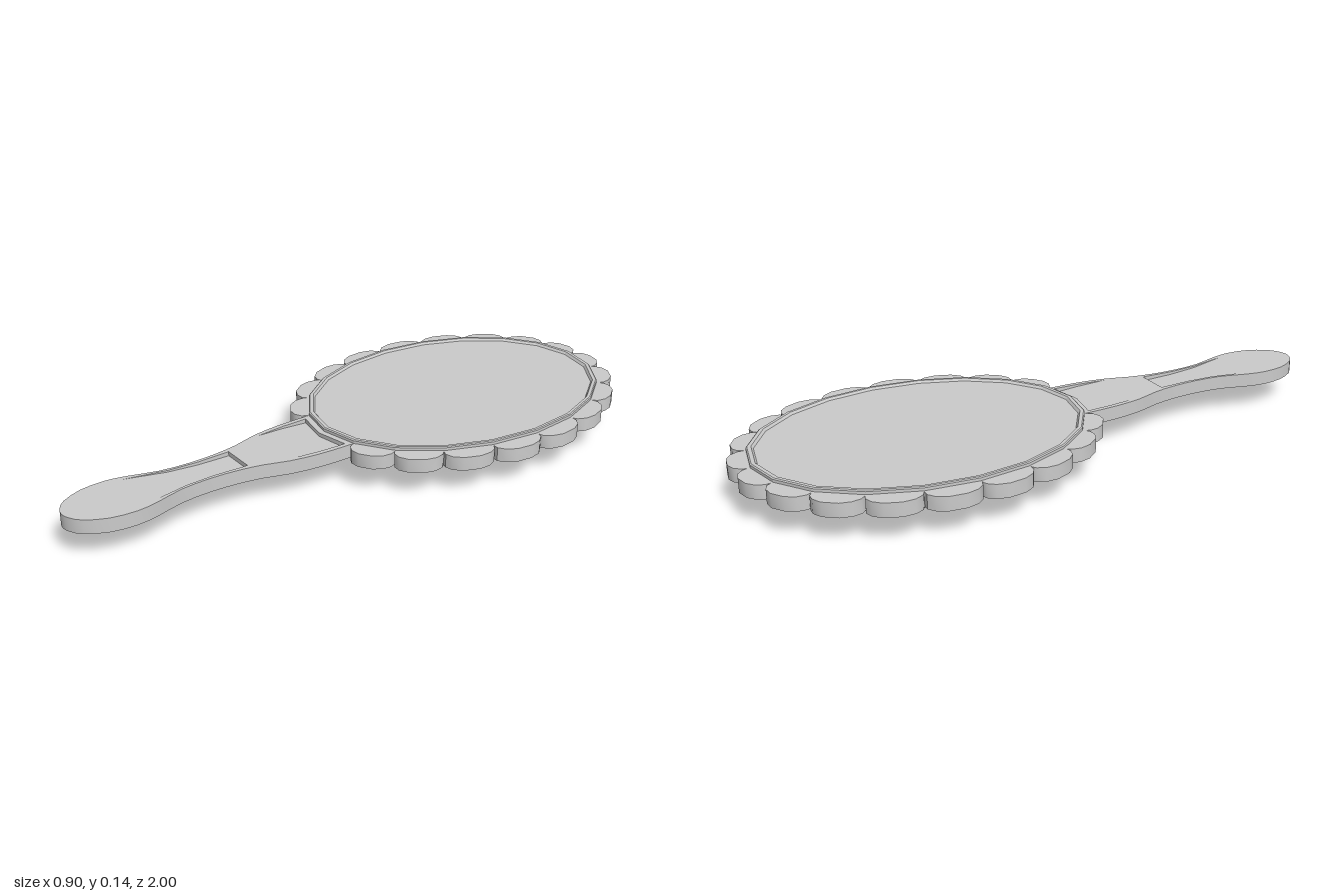
import * as THREE from 'three';
import { toCreasedNormals } from 'three/addons/utils/BufferGeometryUtils.js';

const SIDES = 20, RX = 0.4, RZ = 0.533, CZ = -0.417;
const TOP = 0.13, THICK = 0.045;
const material = new THREE.MeshStandardMaterial({ color: 0xcccccc });

function addMesh(parent, name, geometry, crease = 0.6) {
  const mesh = new THREE.Mesh(toCreasedNormals(geometry, crease), material);
  mesh.name = name;
  parent.add(mesh);
  return mesh;
}

// Oval body: a lathed profile stretched along z
function ovalLathe(profile) {
  const points = profile.map(([x, y]) => new THREE.Vector2(x, y));
  return new THREE.LatheGeometry(points, SIDES).scale(1, 1, RZ / RX).translate(0, 0, CZ);
}

// Flat plate: shape coordinates are (x, z), thickness runs down from top
function plate(shape, top, depth) {
  return new THREE.ExtrudeGeometry(shape, { depth, bevelEnabled: false })
    .rotateX(Math.PI / 2).translate(0, top, 0);
}

// Closed outline from its +x half, mirrored to the other side
function mirrored(half) {
  const other = half.filter(([x]) => x > 0).reverse().map(([x, z]) => [-x, z]);
  return [...half, ...other].map(([x, z]) => new THREE.Vector2(x, z));
}

// Petal of the scalloped border, between angles a0 and a1
function petalShape(a0, a1) {
  const outline = [[-1, -0.02], [-1, 0.006], [-0.94, 0.024], [-0.7, 0.043], [-0.3, 0.055],
    [0.3, 0.055], [0.7, 0.043], [0.94, 0.024], [1, 0.006], [1, -0.02]];
  return new THREE.Shape(outline.map(([t, out]) => {
    const a = (a0 + a1) / 2 + t * (a1 - a0) / 2;
    return new THREE.Vector2((RX + out) * Math.sin(a), CZ + (RZ + out) * Math.cos(a));
  }));
}

export function createModel() {
  const model = new THREE.Group();
  model.name = 'handMirror';

  // Head: domed back, raised rim and inset glass
  const head = new THREE.Group();
  head.name = 'head';
  model.add(head);
  addMesh(head, 'domedBack', ovalLathe([[0, 0], [0.085, 0.002], [0.27, 0.032], [0.38, 0.068], [RX, 0.087]]));
  addMesh(head, 'rim', ovalLathe([[RX, 0.085], [RX, 0.139], [0.397, 0.142], [0.388, 0.142], [0.383, 0.134]]), 0.3);
  addMesh(head, 'glass', ovalLathe([[0.386, 0.134], [0, 0.134]]));

  // Scalloped border, leaving out the two petals at the handle
  const border = new THREE.Group();
  border.name = 'scallopedBorder';
  head.add(border);
  const step = Math.PI * 2 / SIDES;
  for (let i = 1; i < SIDES - 1; i++) {
    addMesh(border, 'petal', plate(petalShape(i * step, (i + 1) * step), TOP, THICK));
  }

  // Handle with a waisted outline and two panel openings
  const handle = new THREE.Group();
  handle.name = 'handle';
  model.add(handle);
  const outline = mirrored([[0.123, 0.06], [0.123, 0.13], [0.119, 0.22], [0.105, 0.31], [0.08, 0.39],
    [0.066, 0.47], [0.061, 0.56], [0.069, 0.66], [0.095, 0.75], [0.107, 0.82],
    [0.098, 0.9], [0.065, 0.965], [0.03, 0.992], [0, 1]]);
  const curve = new THREE.SplineCurve(outline);
  const body = new THREE.Shape(curve.getPoints((outline.length - 1) * 2));

  const panels = [
    mirrored([[0, 0.135], [0.108, 0.113], [0.105, 0.2], [0.094, 0.3]]),
    mirrored([[0.055, 0.43], [0.05, 0.54], [0.056, 0.64], [0.073, 0.72], [0.084, 0.775]]),
  ];
  panels.forEach(points => body.holes.push(new THREE.Path(points)));
  addMesh(handle, 'handleBody', plate(body, TOP, THICK));

  // Sunken panels on both faces, ramping up to flush at their far end
  panels.forEach(points => {
    const geometry = plate(new THREE.Shape(points), TOP, THICK);
    const zs = points.map(p => p.y), near = Math.min(...zs), far = Math.max(...zs);
    const position = geometry.attributes.position;
    const middle = TOP - THICK / 2;
    for (let i = 0; i < position.count; i++) {
      const sink = 0.014 * (far - position.getZ(i)) / (far - near);
      const y = position.getY(i);
      position.setY(i, y - Math.sign(y - middle) * sink);
    }
    addMesh(handle, 'sunkenPanel', geometry);
  });

  return model;
}
